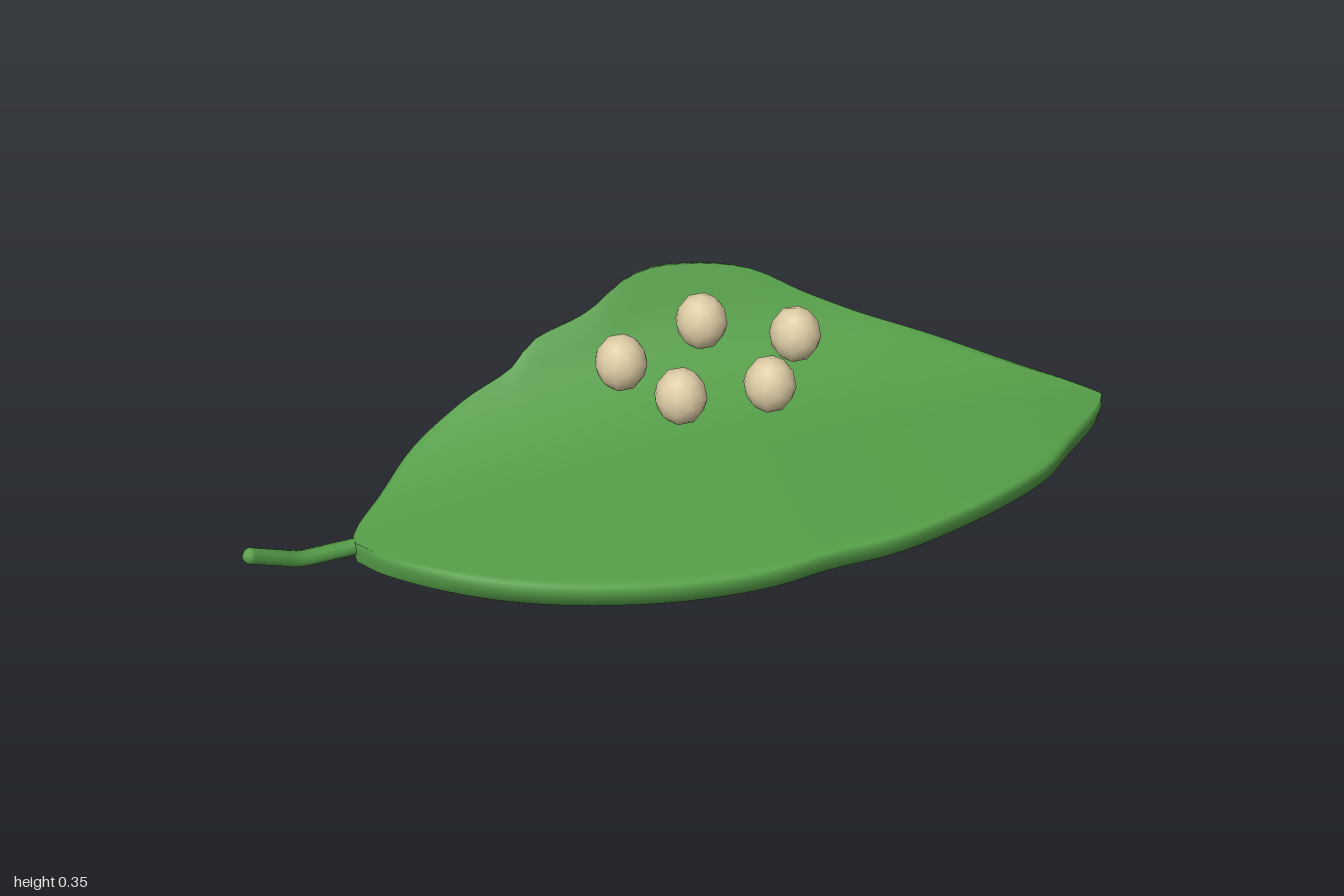
import * as THREE from 'three';

const leafGreen = new THREE.MeshStandardMaterial({ color: 0x559e48 });
leafGreen.name = 'leaf green';
const eggCream = new THREE.MeshStandardMaterial({ color: 0xddcca4 });
eggCream.name = 'egg cream';

// Smooth lookup through [position, value] pairs (cubic Hermite)
function lookup(points, x) {
  const last = points.length - 1;
  let i = 0;
  while (i < last - 1 && x > points[i + 1][0]) i++;
  const slope = (k) => {
    const a = points[Math.max(k - 1, 0)], b = points[Math.min(k + 1, last)];
    return (b[1] - a[1]) / (b[0] - a[0]);
  };
  const [x0, y0] = points[i], [x1, y1] = points[i + 1];
  const h = x1 - x0, t = THREE.MathUtils.clamp((x - x0) / h, 0, 1), s = 1 - t;
  return y0 * (1 + 2 * t) * s * s + slope(i) * h * t * s * s
    + y1 * t * t * (3 - 2 * t) - slope(i + 1) * h * t * t * s;
}

// Leaf outline: z of the back and front rims along x
const backRim = [[-0.76, -0.055], [-0.74, -0.09], [-0.69, -0.147], [-0.585, -0.25], [-0.45, -0.318],
  [-0.32, -0.355], [-0.265, -0.384], [-0.13, -0.404], [-0.02, -0.432], [0.08, -0.438], [0.27, -0.42],
  [0.4, -0.382], [0.51, -0.345], [0.67, -0.285], [0.8, -0.215], [0.91, -0.14], [0.97, -0.08], [0.995, -0.045]];
const frontRim = [[-0.76, -0.015], [-0.72, 0.056], [-0.61, 0.18], [-0.48, 0.286], [-0.32, 0.37],
  [-0.16, 0.42], [0, 0.436], [0.125, 0.42], [0.27, 0.412], [0.4, 0.38], [0.56, 0.32], [0.72, 0.235],
  [0.83, 0.14], [0.94, 0.045], [0.98, 0], [0.995, -0.025]];

// Curl of the leaf: heights of its two faces along z
const upperFace = [[-0.44, 0.318], [-0.42, 0.285], [-0.383, 0.218], [-0.336, 0.16], [-0.266, 0.106],
  [-0.17, 0.064], [-0.08, 0.051], [0, 0.05], [0.2, 0.051], [0.44, 0.053]];
const lowerFace = [[-0.44, 0.295], [-0.406, 0.215], [-0.336, 0.132], [-0.266, 0.07], [-0.17, 0.023],
  [-0.08, 0.003], [0, 0], [0.2, 0.001], [0.44, 0.005]];

// The leaf also bows upward along its length
const arch = (x) => 0.046 * (1 - ((x - 0.1175) / 0.8775) ** 2);

// Closed cross-section: upper face, front rim, lower face, back rim
function leafSection(x, steps) {
  const back = lookup(backRim, x), front = lookup(frontRim, x), lift = arch(x);
  const ring = [];
  const face = (table, inset, reverse) => {
    const a = back + inset, b = front - inset;
    for (let j = 0; j <= steps; j++) {
      const z = THREE.MathUtils.lerp(a, b, (reverse ? steps - j : j) / steps);
      ring.push([x, lift + lookup(table, z), z]);
    }
  };
  const rim = (z) => ring.push(
    [x, lift + THREE.MathUtils.lerp(lookup(lowerFace, z), lookup(upperFace, z), 0.7), z]);
  face(upperFace, 0.006, false);
  rim(front);
  face(lowerFace, 0.012, true);
  rim(back);
  return ring;
}

function leafGeometry() {
  const sections = 72, steps = 24, positions = [], indices = [];
  let n = 0;
  for (let i = 0; i <= sections; i++) {
    const x = 0.1175 - 0.8775 * Math.cos(Math.PI * i / sections);
    const ring = leafSection(x, steps);
    n = ring.length;
    ring.forEach((p) => positions.push(...p));
  }
  for (let i = 0; i < sections; i++) {
    for (let j = 0; j < n; j++) {
      const a = i * n + j, b = i * n + (j + 1) % n;
      indices.push(a, b, a + n, b, b + n, a + n);
    }
  }
  // Close the two tips
  for (const [start, atRight] of [[0, false], [sections * n, true]]) {
    const centre = positions.length / 3;
    positions.push(atRight ? 1 : -0.765, 0.028, -0.035);
    for (let j = 0; j < n; j++) {
      const a = start + j, b = start + (j + 1) % n;
      indices.push(...(atRight ? [a, b, centre] : [b, a, centre]));
    }
  }
  const geometry = new THREE.BufferGeometry();
  geometry.setAttribute('position', new THREE.Float32BufferAttribute(positions, 3));
  geometry.setIndex(indices);
  geometry.computeVertexNormals();
  return geometry;
}

export function createModel() {
  const model = new THREE.Group();
  model.name = 'leafWithEggs';
  const add = (name, geometry, material) => {
    const mesh = new THREE.Mesh(geometry, material);
    mesh.name = name;
    model.add(mesh);
    return mesh;
  };

  add('leaf', leafGeometry(), leafGreen);

  // Stem curving up from the leaf's right end
  const stemPath = new THREE.CatmullRomCurve3([
    [-0.72, 0.032, -0.04], [-0.8, 0.036, -0.03], [-0.88, 0.046, -0.013], [-0.93, 0.072, 0.005], [-0.985, 0.102, 0.025],
  ].map((p) => new THREE.Vector3(...p)));
  add('stem', new THREE.TubeGeometry(stemPath, 20, 0.018, 8), leafGreen);
  const tip = add('stemTip', new THREE.SphereGeometry(0.018, 8, 6), leafGreen);
  tip.position.set(-0.982, 0.1, 0.024);

  // Eggs resting against the raised side
  const egg = new THREE.IcosahedronGeometry(0.061, 1);
  egg.scale(0.97, 1.08, 1.02);
  [[-0.094, 0.222, -0.265], [0.114, 0.262, -0.315], [0.32, 0.218, -0.26],
    [0.008, 0.174, -0.158], [0.214, 0.17, -0.146]].forEach((p, i) => {
    add(`egg${i + 1}`, egg, eggCream).position.set(...p);
  });

  return model;
}
